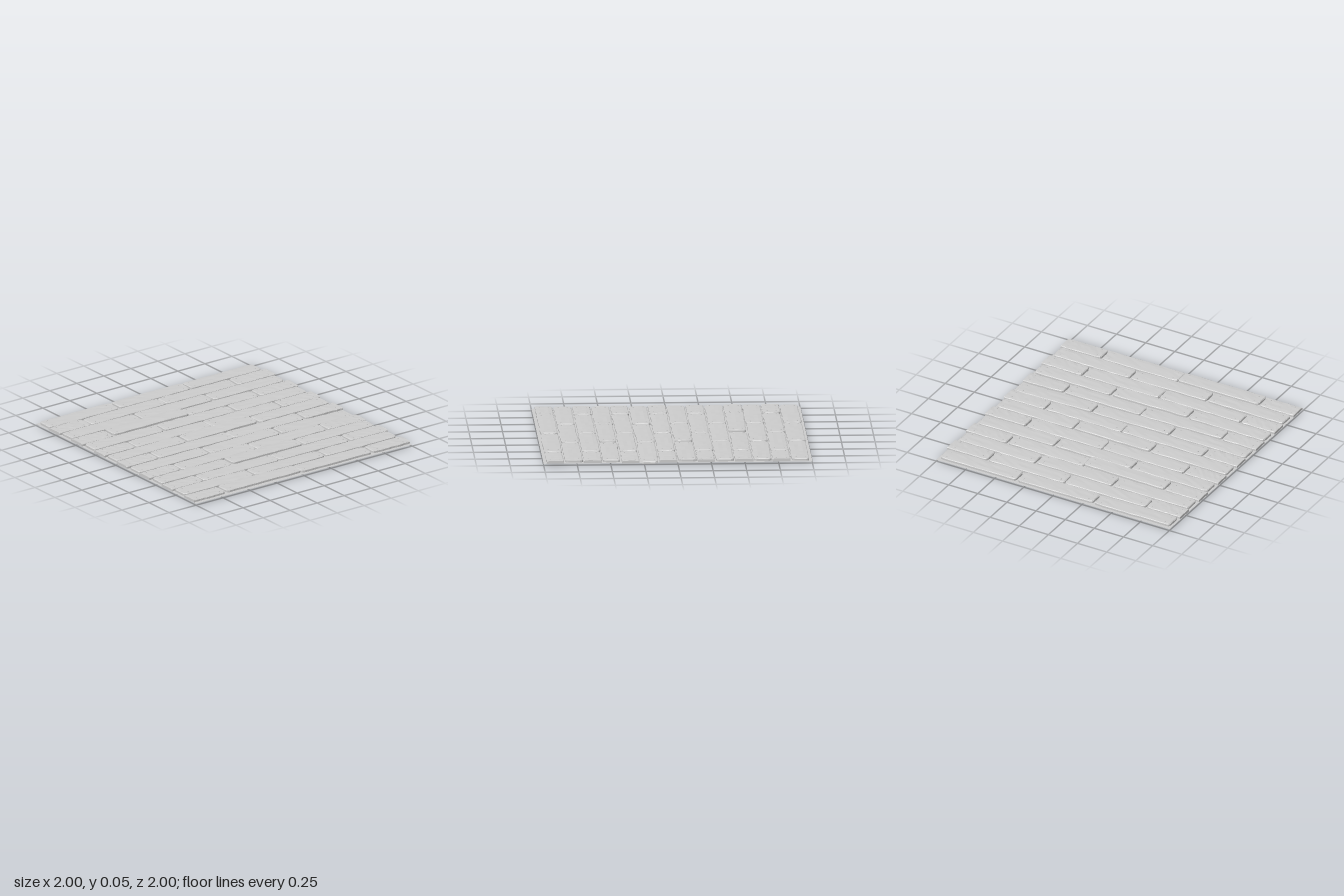
import * as THREE from 'three';

const COLUMNS = 14, PITCH = 0.1405, BASE_Y = 0.016;
const THICK = 0.02;

// Repeatable value in -1..1 from up to three numbers
function hash(a, b = 0, c = 0) {
  const s = Math.sin(a * 127.1 + b * 311.7 + c * 74.7) * 43758.5453;
  return (s - Math.floor(s)) * 2 - 1;
}

// Plank start and end along z for the two staggered column patterns
const ROWS = [
  [[-0.98, -0.335], [-0.32, 0.325], [0.34, 0.985]],
  [[-1, -0.66], [-0.645, 0], [0.005, 0.695], [0.705, 1]],
];

// Noticeably loose boards: lift, tilt along the board, turn in plan
const LOOSE = {
  '3,2': [0.011, 0.006, -0.02],
  '8,0': [-0.006, -0.027, 0.01],
  '9,0': [-0.004, -0.012, 0],
  '8,1': [0, 0.004, 0.03],
  '6,1': [0.006, 0.004, 0.01],
  '10,1': [0.006, -0.004, 0],
  '13,2': [0.006, 0.003, 0.01],
  '9,2': [0, 0, 0.03],
};

// Worn board: a box with clustered end rows, rounded corners, chamfered and wavy top
function plankGeometry(width, length, seed, roundBack, roundFront) {
  const SX = 4, SZ = 14;
  const geo = new THREE.BoxGeometry(1, 1, 1, SX, 2, SZ);
  const p = geo.attributes.position;
  const endRows = [0, 0.007, 0.025];
  const cornerInset = [0.022, 0.007, 0];
  for (let i = 0; i < p.count; i++) {
    const u = p.getX(i) * 2;
    const level = Math.round((p.getY(i) + 0.5) * 2);
    const k = Math.round((p.getZ(i) + 0.5) * SZ);
    const fromEnd = Math.min(k, SZ - k);
    const isBack = k < SZ / 2;
    const rounded = isBack ? roundBack : roundFront;
    const inner = (k - 2) / (SZ - 4) * (length - 0.05) + 0.025;
    let z = fromEnd < 3 ? (isBack ? endRows[fromEnd] : length - endRows[fromEnd]) : inner;
    z -= length / 2;
    const chamfer = level === 2 ? 0.006 : 0;
    let half = width / 2 - chamfer;
    if (rounded && fromEnd < 3) half -= cornerInset[fromEnd];
    // chipped long edges
    if (Math.abs(u) > 0.9) half += 0.003 * hash(k, seed, Math.sign(u));
    if (fromEnd === 0 && rounded) z += (isBack ? 1 : -1) * chamfer * 0.8;
    let y = [0, THICK * 0.72, THICK][level];
    if (level === 2) {
      y += 0.0012 * hash(Math.round(u * 2), k, seed);
      if (Math.abs(u) > 0.9) y -= 0.0015;
    }
    p.setXYZ(i, u * half, y, z);
  }
  geo.computeVertexNormals();
  return geo;
}

export function createModel() {
  const model = new THREE.Group();
  model.name = 'plankFloor';
  const wood = new THREE.MeshStandardMaterial({ color: 0xcccccc, flatShading: true });
  const sheet = new THREE.MeshStandardMaterial({ color: 0xcccccc, side: THREE.DoubleSide });

  // Flat underlay seen in the gaps and from below
  const base = new THREE.Mesh(new THREE.PlaneGeometry(2, 2), sheet);
  base.name = 'underlay';
  base.rotation.x = -Math.PI / 2;
  base.position.y = BASE_Y;
  model.add(base);

  const nailGeo = new THREE.CylinderGeometry(0.005, 0.006, 0.005, 6);

  for (let col = 0; col < COLUMNS; col++) {
    const x = (col - (COLUMNS - 1) / 2) * PITCH;
    ROWS[col % 2].forEach(([z0, z1], row) => {
      const seed = col * 5 + row + 1;
      const length = z1 - z0;
      const width = 0.13 + 0.004 * hash(seed, 2);
      const [lift, tilt, turn] = LOOSE[`${col},${row}`] || [0, 0, 0];

      const board = new THREE.Group();
      board.name = `board_${col}_${row}`;
      board.position.set(x, BASE_Y + 0.002 + lift + 0.0015 * hash(seed, 3), (z0 + z1) / 2);
      board.rotation.set(
        tilt + 0.004 * hash(seed, 4),
        turn * 0.5 + 0.006 * hash(seed, 5),
        0.015 * hash(seed, 6)
      );

      const plank = new THREE.Mesh(
        plankGeometry(width, length, seed, z0 > -1, z1 < 1), wood);
      plank.name = 'plank';
      board.add(plank);

      // Pair of nails near each end
      for (const end of [-1, 1]) {
        for (const side of [-1, 1]) {
          const nail = new THREE.Mesh(nailGeo, wood);
          nail.name = 'nail';
          nail.position.set(
            side * (0.036 + 0.004 * hash(seed, end, side)),
            THICK + 0.0005,
            end * (length / 2 - 0.045 + 0.006 * hash(seed, side, end + 5))
          );
          nail.rotation.y = hash(seed, end, side + 3);
          board.add(nail);
        }
      }
      model.add(board);
    });
  }
  return model;
}
